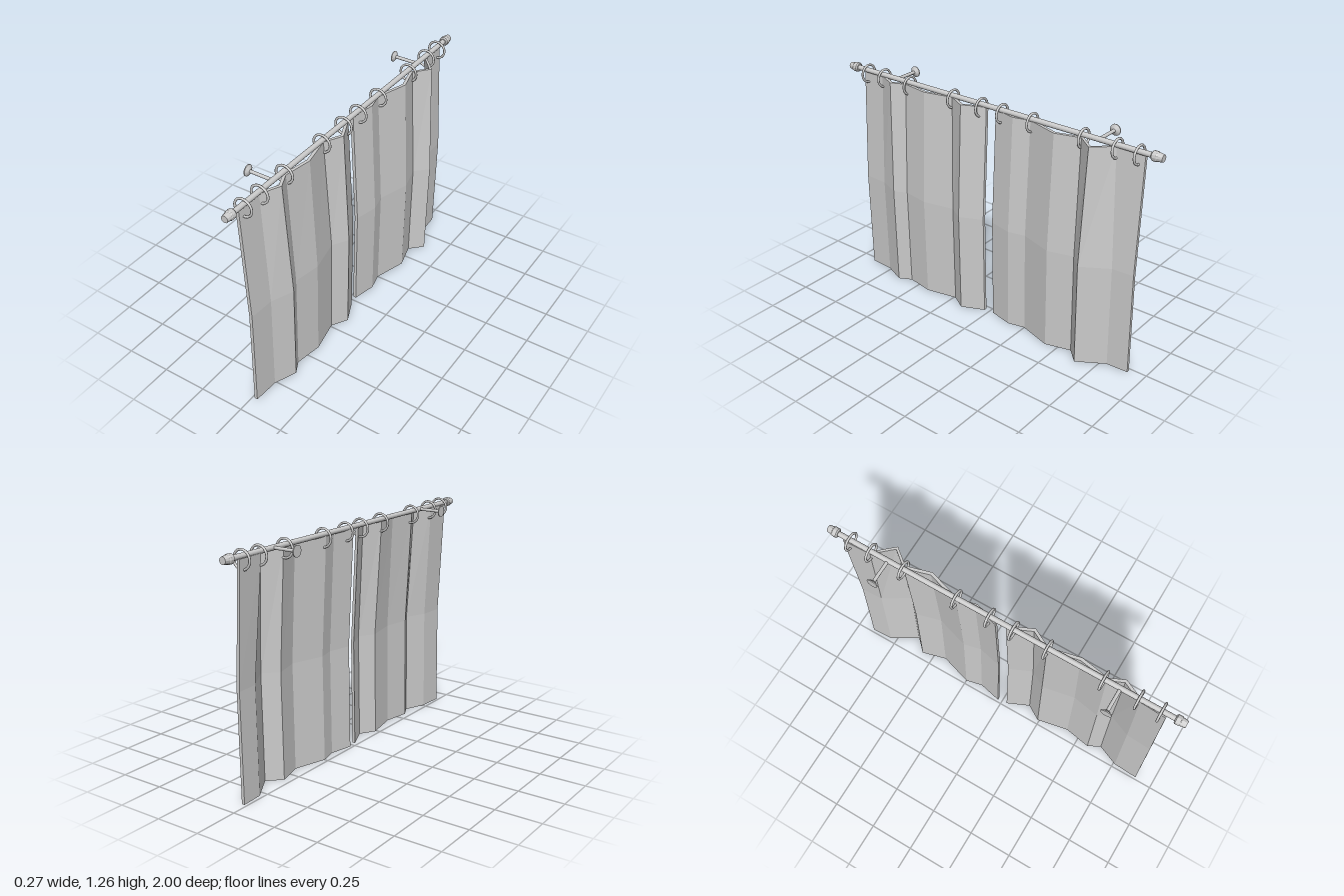
import * as THREE from 'three';

const ROD_X = 0.011, ROD_Y = 1.228;
const grey = new THREE.MeshStandardMaterial({ color: 0xcccccc });
const cloth = new THREE.MeshStandardMaterial({ color: 0xcccccc, flatShading: true });

// Fold lines of each curtain: [z, outer x at mid height, z shift at the top]
const FOLDS = {
  curtainLeft: [[0.9, 0.038, 0], [0.76, 0.046, 0], [0.64, 0.096, 0.015], [0.57, 0.06, 0.005], [0.42, 0.086, 0],
    [0.24, 0.05, 0.015], [0.155, 0.102, 0], [0.03, 0.046, 0]],
  curtainRight: [[-0.025, 0.038, 0], [-0.155, 0.068, 0], [-0.25, 0.046, 0], [-0.43, 0.102, 0], [-0.57, 0.064, 0.005],
    [-0.64, 0.134, -0.012], [-0.785, 0.046, 0.035], [-0.905, 0.04, 0]],
};
// Rows of the cloth: [y, x shift, share of the top z shift]
const ROWS = [[0, -0.008, 0], [0.58, 0, 0], [1.22, -0.03, 1]];
const THICK = 0.017;

// Closed, folded sheet lofted through the rows
function curtainGeometry(folds) {
  const n = folds.length, pos = [];
  const loops = ROWS.map(([y, dx, k]) => {
    const outer = folds.map(([z, x, dz]) => [x + dx, y, z + dz * k]);
    const inner = outer.map(([x, , z]) => [x - THICK, y, z]).reverse();
    return [...outer, ...inner];
  });
  const quad = (a, b, c, d) => pos.push(...a, ...b, ...c, ...a, ...c, ...d);
  for (let r = 0; r < ROWS.length - 1; r++) {
    const lo = loops[r], hi = loops[r + 1];
    for (let i = 0; i < 2 * n; i++) {
      const j = (i + 1) % (2 * n);
      quad(lo[i], lo[j], hi[j], hi[i]);
    }
  }
  const bottom = loops[0], top = loops[ROWS.length - 1], last = 2 * n - 1;
  for (let i = 0; i < n - 1; i++) {
    quad(top[i], top[i + 1], top[last - i - 1], top[last - i]);
    quad(bottom[last - i], bottom[last - i - 1], bottom[i + 1], bottom[i]);
  }
  const g = new THREE.BufferGeometry();
  g.setAttribute('position', new THREE.Float32BufferAttribute(pos, 3));
  g.computeVertexNormals();
  return g;
}

const lathe = (pts, sides) => new THREE.LatheGeometry(pts.map(p => new THREE.Vector2(...p)), sides);

export function createModel() {
  const model = new THREE.Group();
  model.name = 'curtainsOnRod';
  const add = (name, geometry, material, x = 0, y = 0, z = 0) => {
    const mesh = new THREE.Mesh(geometry, material);
    mesh.name = name;
    mesh.position.set(x, y, z);
    model.add(mesh);
    return mesh;
  };

  // Rod
  add('rod', new THREE.CylinderGeometry(0.014, 0.014, 1.9, 16), grey, ROD_X, ROD_Y, 0).rotation.x = Math.PI / 2;

  // Finials and wall brackets, mirrored at both ends
  const finial = lathe([[0, 0], [0.02, 0], [0.026, 0.006], [0.026, 0.028], [0.023, 0.033], [0.019, 0.06], [0, 0.06]], 12);
  finial.deleteAttribute('normal');
  finial.computeVertexNormals();
  const flange = lathe([[0, 0], [0.03, 0], [0.03, 0.005], [0.022, 0.01], [0.01, 0.017], [0, 0.017]], 16);
  for (const s of [1, -1]) {
    const side = s > 0 ? 'Left' : 'Right';
    add('finial' + side, finial, cloth, ROD_X, ROD_Y, s * 0.94).rotation.x = s * Math.PI / 2;
    add('bracketArm' + side, new THREE.CylinderGeometry(0.009, 0.009, 0.135, 12), grey,
      -0.0575, ROD_Y, s * 0.65).rotation.z = Math.PI / 2;
    add('bracketFlange' + side, flange, cloth, -0.135, ROD_Y, s * 0.65).rotation.z = -Math.PI / 2;
  }

  // Rings hanging on the rod
  const ring = new THREE.TorusGeometry(0.048, 0.0065, 8, 24);
  for (const z of [0.87, 0.75, 0.562, 0.255, 0.066, -0.068, -0.258, -0.563, -0.753, -0.872]) {
    add('ring', ring, grey, ROD_X, 1.21, z);
  }

  // Curtains
  for (const [name, folds] of Object.entries(FOLDS)) add(name, curtainGeometry(folds), cloth);

  return model;
}
